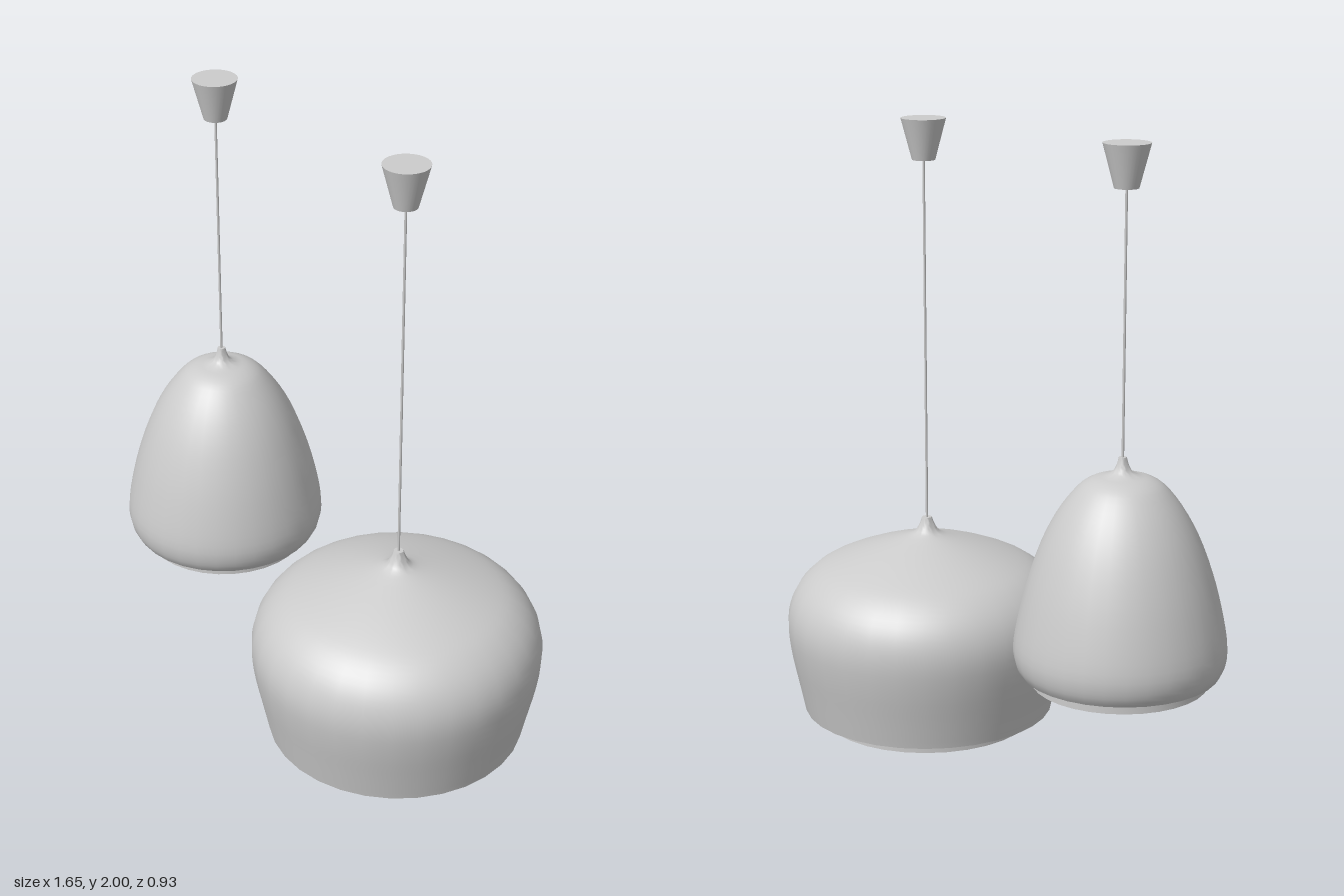
import * as THREE from 'three';
import { toCreasedNormals } from 'three/addons/utils/BufferGeometryUtils.js';

const SIDES = 32;
const material = new THREE.MeshStandardMaterial({ color: 0xcccccc });
const points = (list) => list.map(([r, y]) => new THREE.Vector2(r, y));

function addMesh(group, name, geometry, y = 0) {
  const mesh = new THREE.Mesh(geometry, material);
  mesh.name = name;
  mesh.position.y = y;
  group.add(mesh);
}

// One pendant: ceiling cup, cord and hollow shade with a stepped lower ring
function createPendant({ name, x, body, neck, ringRadius, ringBottom }) {
  const group = new THREE.Group();
  group.name = name;
  group.position.x = x;

  const ringTop = body[0][1];
  const neckTop = neck[neck.length - 1][1];
  const wall = 0.018;

  const outer = new THREE.SplineCurve(points(body)).getPoints(28);
  const stem = new THREE.SplineCurve(points([body[body.length - 1], ...neck])).getPoints(8);
  // Inner wall follows the outer one, running from the crown down to the ring
  const inner = outer
    .map((p) => new THREE.Vector2(Math.max(p.x - wall, 0.004), p.y - wall))
    .filter((p) => p.y > ringTop)
    .reverse();

  const profile = [
    new THREE.Vector2(0, inner[0].y),
    ...inner,
    ...points([
      [ringRadius - wall, ringTop],
      [ringRadius - wall, ringBottom],
      [ringRadius, ringBottom],
      [ringRadius, ringTop],
    ]),
    ...outer,
    ...stem.slice(1),
    new THREE.Vector2(0, neckTop),
  ];
  addMesh(group, 'shade', toCreasedNormals(new THREE.LatheGeometry(profile, SIDES), 0.6));

  // Cord from the neck to the ceiling cup
  const cupBottom = 1.868;
  const cordLength = cupBottom - neckTop + 0.02;
  addMesh(group, 'cord', new THREE.CylinderGeometry(0.004, 0.004, cordLength, 8),
    neckTop - 0.01 + cordLength / 2);

  // Tapered ceiling cup
  const cupHeight = 2 - cupBottom;
  addMesh(group, 'ceilingCup', new THREE.CylinderGeometry(0.072, 0.037, cupHeight, SIDES),
    cupBottom + cupHeight / 2);
  return group;
}

export function createModel() {
  const model = new THREE.Group();
  model.name = 'pendantLamps';

  // Tall bell-shaped lamp
  model.add(createPendant({
    name: 'tallPendant',
    x: -0.5,
    ringRadius: 0.272,
    ringBottom: 0.345,
    body: [[0.305, 0.38], [0.321, 0.41], [0.328, 0.466], [0.313, 0.56], [0.283, 0.68],
      [0.24, 0.8], [0.19, 0.895], [0.135, 0.965], [0.095, 0.992], [0.06, 1.002]],
    neck: [[0.032, 1.014], [0.019, 1.035], [0.012, 1.06]],
  }));

  // Wide, low lamp
  model.add(createPendant({
    name: 'widePendant',
    x: 0.357,
    ringRadius: 0.352,
    ringBottom: 0,
    body: [[0.413, 0.04], [0.432, 0.13], [0.455, 0.24], [0.465, 0.33], [0.455, 0.4],
      [0.425, 0.46], [0.375, 0.51], [0.31, 0.546], [0.2, 0.588], [0.07, 0.628]],
    neck: [[0.04, 0.642], [0.024, 0.668], [0.016, 0.69]],
  }));

  return model;
}
